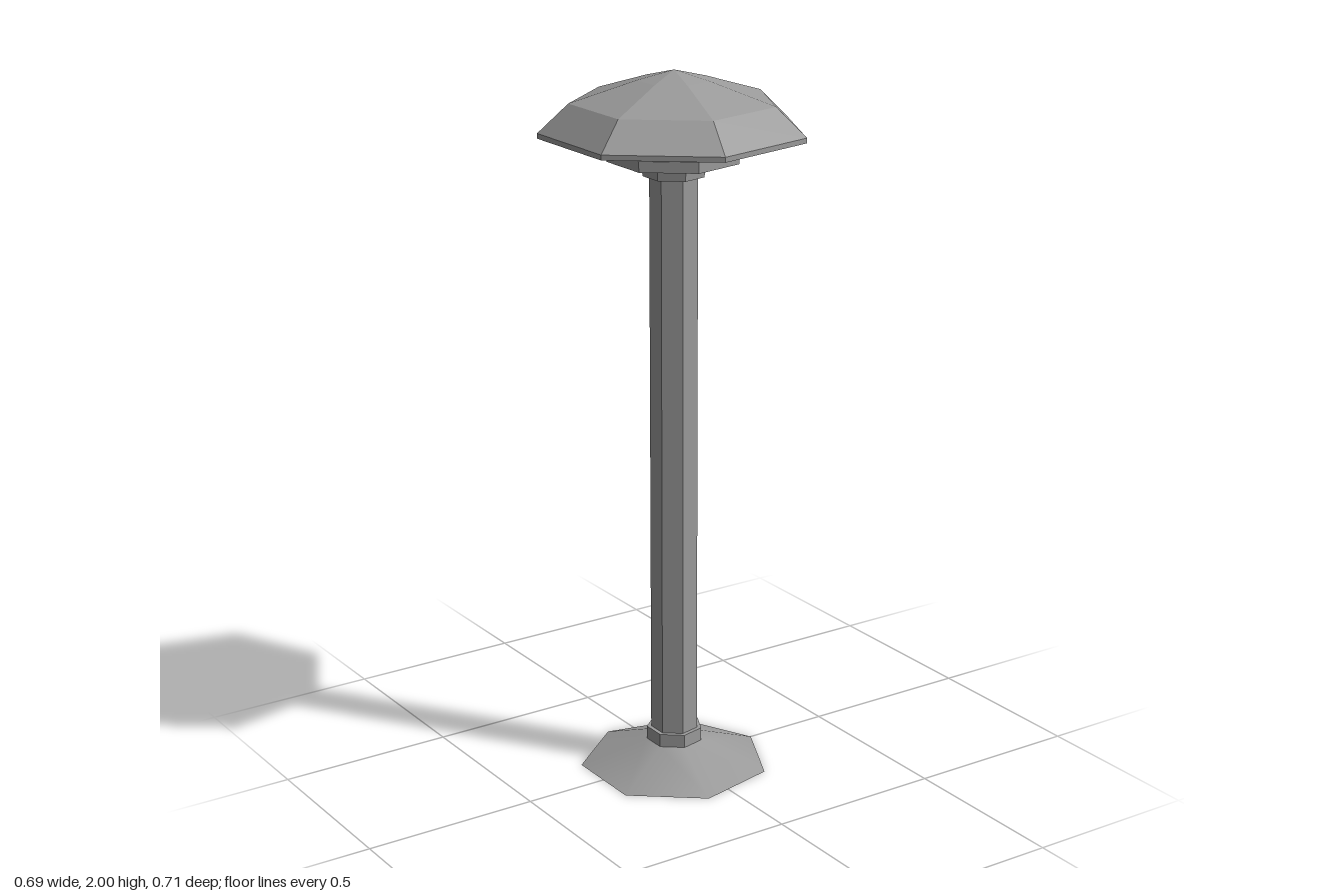
import * as THREE from 'three';

const SIDES = 7;
const GREY = 0x9b9b9b;

export function createModel() {
  const faceted = new THREE.MeshStandardMaterial({ color: GREY, flatShading: true, side: THREE.DoubleSide });
  const smooth = new THREE.MeshStandardMaterial({ color: GREY, side: THREE.DoubleSide });
  const bollard = new THREE.Group();
  bollard.name = 'bollardLight';

  // Seven-sided turned part from [radius, height] pairs, one corner towards +x
  const turned = (name, profile, material = faceted) => {
    const points = profile.map(([r, y]) => new THREE.Vector2(r, y));
    const geometry = new THREE.LatheGeometry(points, SIDES, Math.PI / 2);
    const mesh = new THREE.Mesh(geometry, material);
    mesh.name = name;
    mesh.position.x = -0.018; // centres the odd-sided outline by its extents
    bollard.add(mesh);
  };

  // Open, hollow foot with softly shaded skirt
  turned('baseSkirt', [[0.269, 0], [0.08, 0.072]], smooth);
  turned('baseCollar', [[0.08, 0.072], [0.08, 0.11], [0.067, 0.11]]);

  // Hollow post
  turned('post', [[0.067, 0.11], [0.067, 1.74]]);

  // Neck ring and flared lamp holder
  turned('neckCollar', [[0.067, 1.714], [0.085, 1.716], [0.087, 1.74], [0.067, 1.74]]);
  turned('lampHolder', [[0.067, 1.738], [0.09, 1.74], [0.181, 1.758], [0.181, 1.788], [0.165, 1.788]]);

  // Faceted cap with a recessed underside
  turned('cap', [
    [0.165, 1.788], [0.25, 1.826], [0.3645, 1.826], [0.3645, 1.84],
    [0.281, 1.917], [0.1, 1.974], [0, 2],
  ]);

  return bollard;
}
